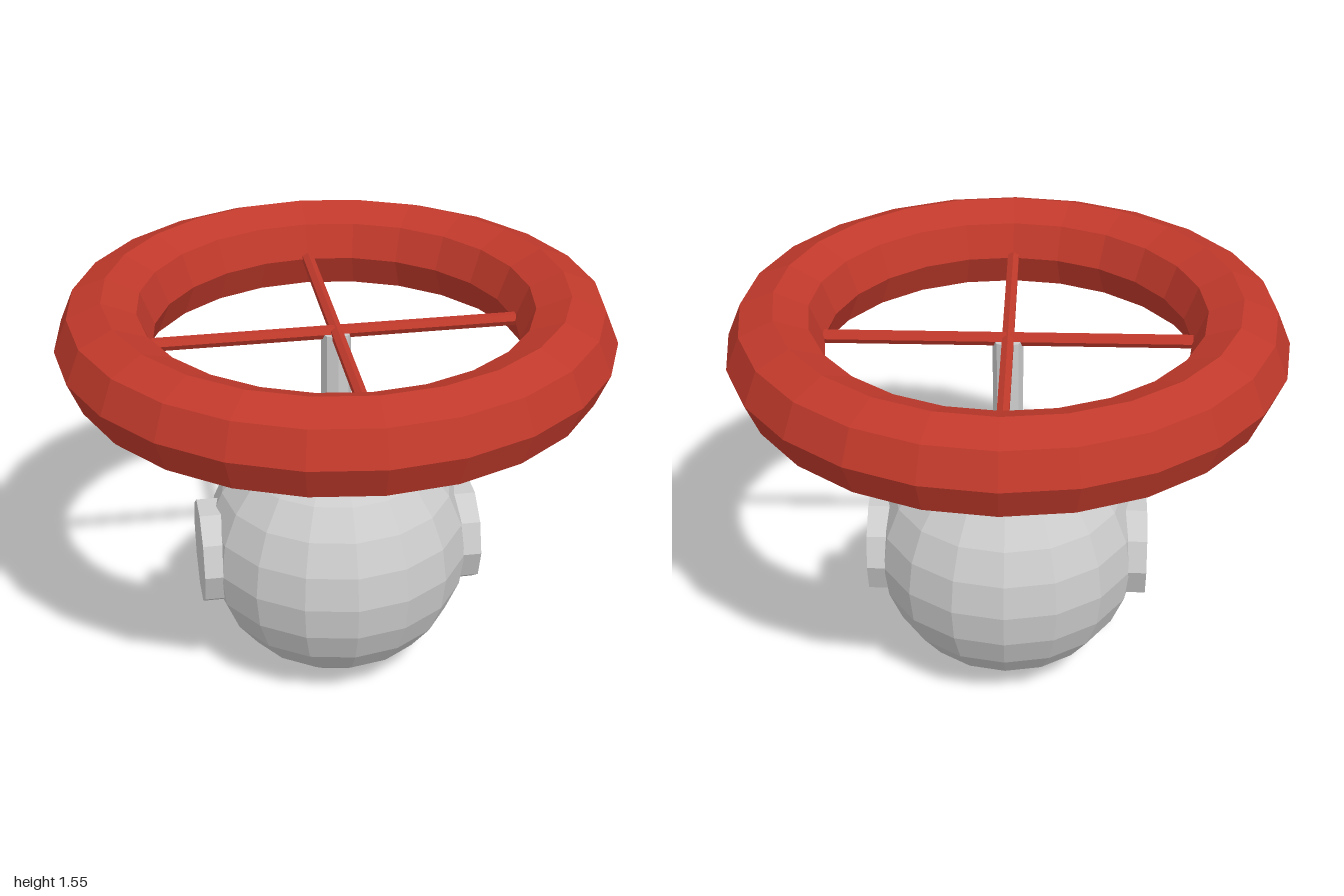
import * as THREE from 'three';

export function createModel() {
  const model = new THREE.Group();
  const grey = new THREE.MeshStandardMaterial({ color: 0xcccccc, flatShading: true });
  const red = new THREE.MeshStandardMaterial({ color: 0xc0392b, flatShading: true });

  const add = (name, geometry, material, x, y, z, parent = model) => {
    const mesh = new THREE.Mesh(geometry, material);
    mesh.name = name;
    mesh.position.set(x, y, z);
    parent.add(mesh);
    return mesh;
  };

  const bodyR = 0.497;
  const wheelY = 1.375;

  // Round valve body
  add('valveBody', new THREE.SphereGeometry(bodyR, 16, 12), grey, 0, bodyR, 0);

  // Pipe flanges on both sides
  for (const [name, side] of [['leftFlange', 1], ['rightFlange', -1]]) {
    const flange = new THREE.CylinderGeometry(0.198, 0.198, 0.12, 10).rotateZ(Math.PI / 2);
    add(name, flange, grey, side * 0.462, 0.5, 0);
  }

  // Stem from the body up to the wheel hub
  const stemBottom = 0.95;
  const stemH = wheelY - stemBottom;
  add('stem', new THREE.CylinderGeometry(0.055, 0.055, stemH, 8), grey, 0, stemBottom + stemH / 2, 0);

  // Handwheel: chunky rim with two crossing spokes
  const wheel = new THREE.Group();
  wheel.name = 'handwheel';
  wheel.position.y = wheelY;
  model.add(wheel);
  add('rim', new THREE.TorusGeometry(0.8276, 0.1724, 8, 24).rotateX(Math.PI / 2), red, 0, 0, 0, wheel);
  const spoke = () => new THREE.CylinderGeometry(0.0241, 0.0241, 1.315, 6);
  add('crossSpoke', spoke().rotateZ(Math.PI / 2), red, 0, 0, 0, wheel);
  add('lengthSpoke', spoke().rotateX(Math.PI / 2), red, 0, 0, 0, wheel);

  return model;
}
